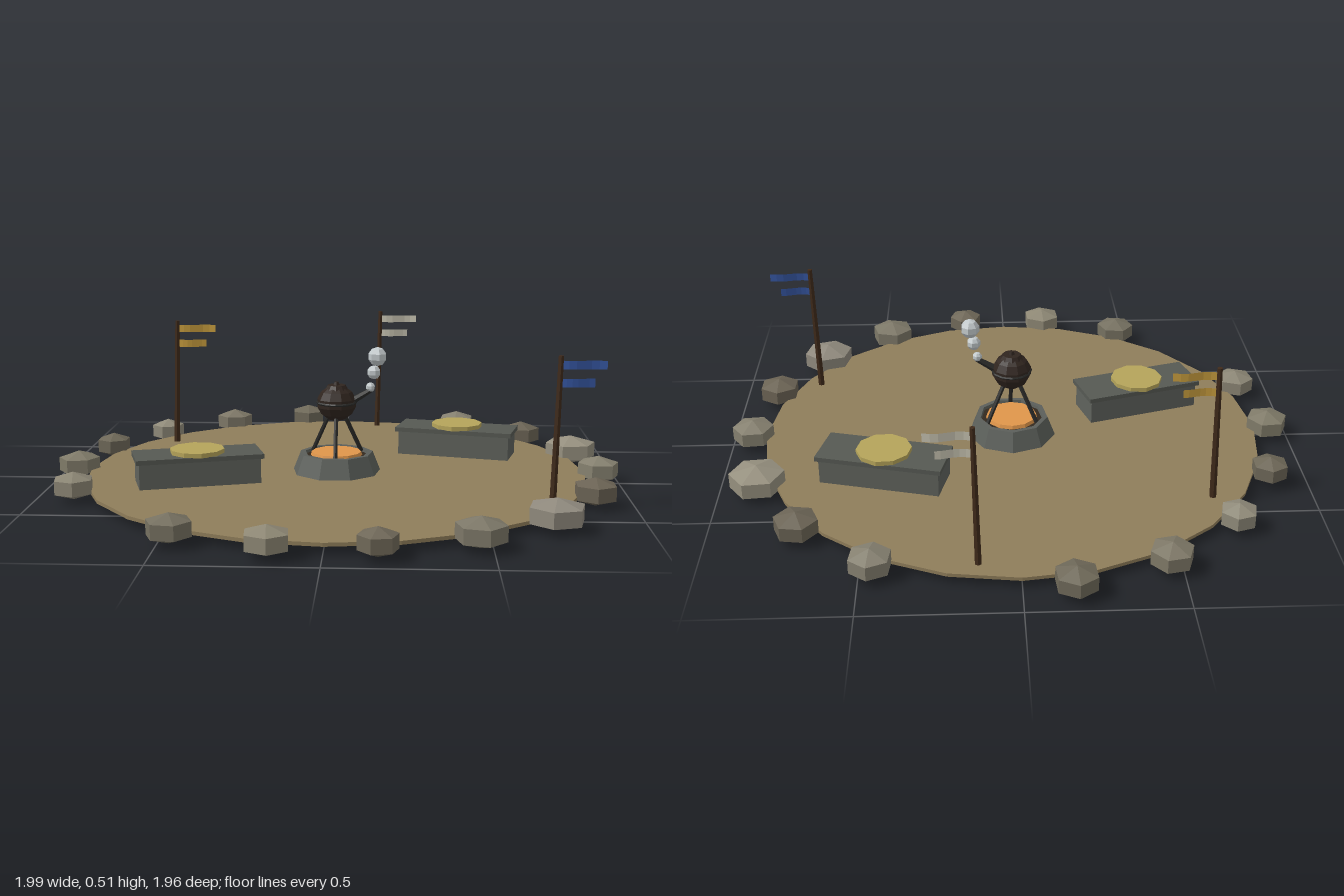
import * as THREE from 'three';

const mat = (color, extra = {}) =>
  new THREE.MeshStandardMaterial({ color, flatShading: true, ...extra });

function part(parent, name, geometry, material, x = 0, y = 0, z = 0) {
  const mesh = new THREE.Mesh(geometry, material);
  mesh.name = name;
  mesh.position.set(x, y, z);
  parent.add(mesh);
  return mesh;
}

// Tapered rod between two points
function rod(parent, name, a, b, rBottom, rTop, sides, material) {
  const from = new THREE.Vector3(...a), dir = new THREE.Vector3(...b).sub(from);
  const geo = new THREE.CylinderGeometry(rTop, rBottom, dir.length(), sides);
  const mesh = part(parent, name, geo, material);
  mesh.position.copy(from).addScaledVector(dir, 0.5);
  mesh.quaternion.setFromUnitVectors(new THREE.Vector3(0, 1, 0), dir.normalize());
  return mesh;
}

function group(parent, name, x = 0, y = 0, z = 0) {
  const g = new THREE.Group();
  g.name = name;
  g.position.set(x, y, z);
  parent.add(g);
  return g;
}

const GROUND = 0.037;

export function createModel() {
  const model = new THREE.Group();
  model.name = 'campCircle';

  const stone = mat(0x5f625c), slab = mat(0x565953), gold = mat(0xb5a45a);
  const iron = mat(0x30251f), darkIron = mat(0x2a2a28), wood = mat(0x3f2a1a);
  const smoke = mat(0xc3cacc);

  // Packed earth disc
  part(model, 'ground', new THREE.CylinderGeometry(0.88, 0.88, 0.012, 24),
    mat(0x8f7d5a), 0, GROUND - 0.006, 0);

  // Ring of boulders every 20 degrees with two gaps: [step, radius, colour, turn]
  const boulders = [
    [0, 0.072, 0x85806f, 0.1], [1, 0.073, 0x6b6354, 0.5], [2, 0.092, 0x8f897d, 0.3],
    [3, 0.08, 0x7c7767, 0.8], [4, 0.063, 0x6f6858, 0.2], [5, 0.073, 0x8d8774, 0.6],
    [6, 0.072, 0x757060, 0.9], [8, 0.07, 0x8b8574, 0.7], [9, 0.072, 0x7f7a68, 0.1],
    [10, 0.062, 0x6d6757, 0.5], [11, 0.062, 0x8f8a79, 0.3], [12, 0.07, 0x7d7766, 0.2],
    [13, 0.07, 0x6f6959, 0.6], [15, 0.07, 0x858070, 0.4], [16, 0.073, 0x6b6455, 0.9],
    [17, 0.093, 0x96907f, 0.1],
  ];
  const ring = group(model, 'boulderRing');
  for (const [step, r, color, turn] of boulders) {
    const a = step * Math.PI / 9;
    const m = part(ring, 'boulder', new THREE.SphereGeometry(1, 6, 3), mat(color),
      0.925 * Math.cos(a), 0.053, 0.925 * Math.sin(a));
    m.scale.set(r / 0.866, 0.032 + r * 0.22, r / 0.866);
    m.rotation.y = turn;
  }

  // Two stone tables, each with a round golden plate
  for (const [x, z, turn] of [[0.44, -0.3, -0.25], [-0.47, 0.18, 0.295]]) {
    const table = group(model, 'stoneTable', x, 0, z);
    table.rotation.y = turn;
    part(table, 'tableBody', new THREE.BoxGeometry(0.415, 0.09, 0.15), stone, 0, 0.08, 0);
    part(table, 'tableSlab', new THREE.BoxGeometry(0.435, 0.016, 0.17), slab, 0, 0.132, 0);
    part(table, 'plate', new THREE.CylinderGeometry(0.094, 0.094, 0.016, 10), gold, 0, 0.147, 0);
  }

  // Nine-sided fire pit: stone rim, dark ash bed and glowing embers
  const pit = group(model, 'firePit');
  const rim = [[0.157, GROUND], [0.13, 0.105], [0.113, 0.105], [0.108, 0.085]]
    .map(p => new THREE.Vector2(...p));
  part(pit, 'pitRim', new THREE.LatheGeometry(rim, 9),
    mat(0x5b5f5a, { side: THREE.DoubleSide })).rotation.y = Math.PI;
  part(pit, 'ashBed', new THREE.CylinderGeometry(0.112, 0.112, 0.04, 9),
    mat(0x33291f), 0, 0.075, 0).rotation.y = Math.PI;
  part(pit, 'embers', new THREE.CylinderGeometry(0.088, 0.092, 0.014, 12),
    mat(0xe0964a), 0, 0.101, 0);

  // Kettle on a tripod
  const kettle = group(model, 'kettle');
  for (let i = 0; i < 3; i++) {
    const a = i * Math.PI * 2 / 3, s = Math.sin(a), c = Math.cos(a);
    rod(kettle, 'tripodLeg', [0.1 * s, 0.1, 0.1 * c], [0.025 * s, 0.25, 0.025 * c],
      0.008, 0.008, 6, darkIron);
  }
  part(kettle, 'kettleBody', new THREE.SphereGeometry(0.07, 10, 7), iron, 0, 0.283, 0)
    .scale.y = 0.92;
  part(kettle, 'kettleBand', new THREE.TorusGeometry(0.068, 0.005, 5, 12), darkIron, 0, 0.285, 0)
    .rotation.x = Math.PI / 2;
  part(kettle, 'kettleLid', new THREE.CylinderGeometry(0.032, 0.042, 0.016, 10), iron, 0, 0.339, 0);
  part(kettle, 'lidKnob', new THREE.CylinderGeometry(0.008, 0.012, 0.012, 6), iron, 0, 0.352, 0);
  rod(kettle, 'spout', [0.055, 0.29, 0], [0.122, 0.33, 0], 0.014, 0.009, 6, darkIron);

  // Rising steam puffs
  for (const [x, y, r] of [[0.12, 0.34, 0.017], [0.132, 0.393, 0.025], [0.144, 0.449, 0.034]])
    part(kettle, 'steamPuff', new THREE.SphereGeometry(r, 7, 5), smoke, x, y, 0);

  // Three leaning poles, each with two rippling pennants
  for (const [x, z, color] of [[-0.65, -0.457, 0xc49a3c], [0.132, -0.802, 0xc6c2b0],
    [0.72, 0.39, 0x34549e]]) {
    const flag = group(model, 'flagPole', x, 0, z);
    rod(flag, 'pole', [0, 0.03, 0], [0.012, 0.515, 0], 0.012, 0.009, 6, wood);
    const cloth = mat(color, { side: THREE.DoubleSide });
    for (const [y, length] of [[0.485, 0.146], [0.427, 0.11]]) {
      const geo = new THREE.PlaneGeometry(length, 0.028, 6, 1);
      geo.translate(length / 2, 0, 0);
      const p = geo.attributes.position;
      for (let i = 0; i < p.count; i++)
        p.setZ(i, 0.006 * Math.sin(p.getX(i) / 0.146 * Math.PI * 2));
      geo.computeVertexNormals();
      part(flag, 'pennant', geo, cloth, 0.013, y, 0);
    }
  }

  return model;
}
